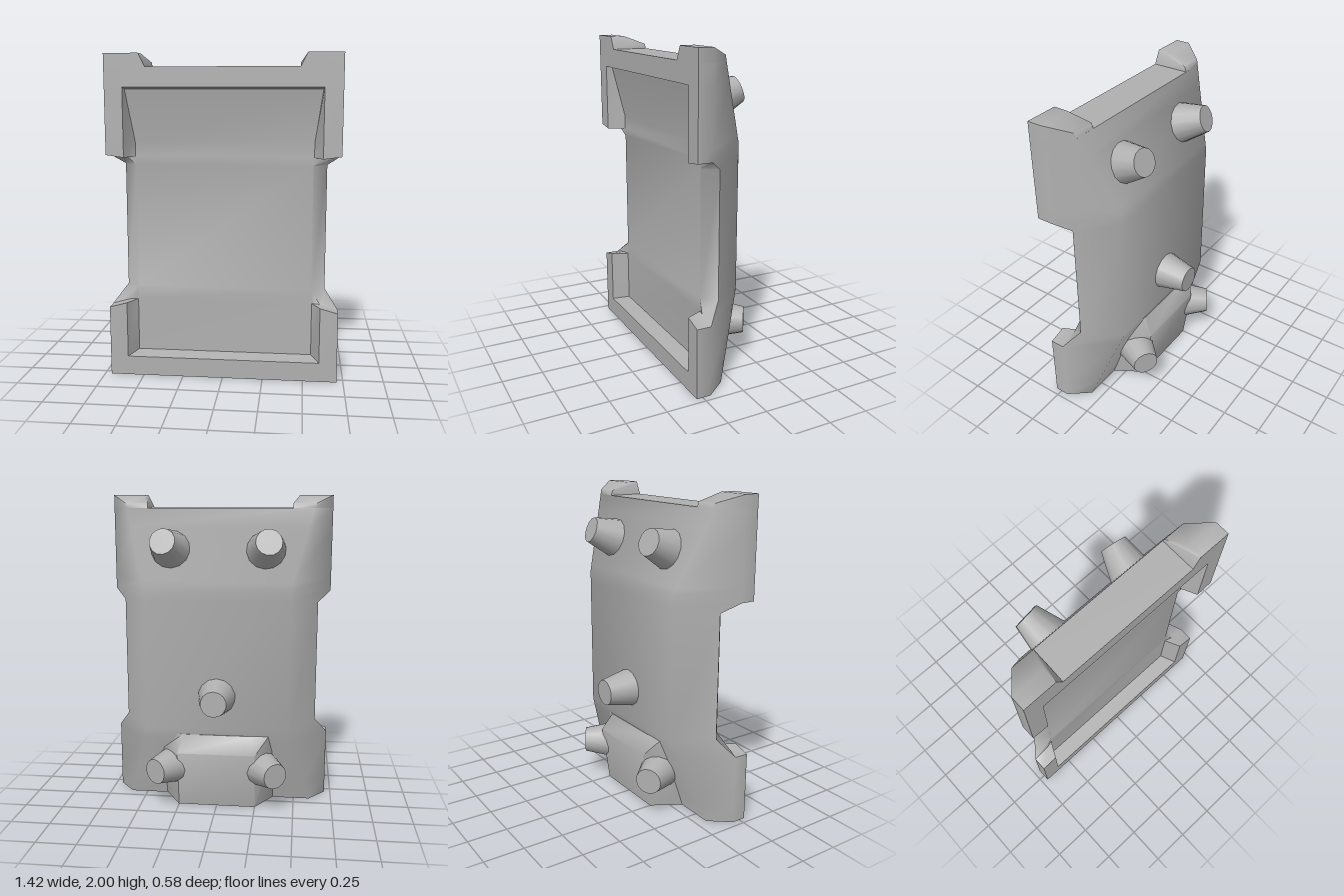
import * as THREE from 'three';
import { toCreasedNormals } from 'three/addons/utils/BufferGeometryUtils.js';
import { ConvexGeometry } from 'three/addons/geometries/ConvexGeometry.js';

const V = (x, y, z) => new THREE.Vector3(x, y, z);
const mirror = p => V(-p.x, p.y, p.z);

// Closed skin over rows of half cross-sections (front to back, +x side), mirrored to -x.
function loft(rows, crease) {
  const loops = rows.map(r => [...r, ...r.map(mirror).reverse()]);
  const pos = [];
  const tri = (a, b, c) => {
    const area = b.clone().sub(a).cross(c.clone().sub(a)).length();
    if (area > 1e-6) for (const p of [a, b, c]) pos.push(p.x, p.y, p.z);
  };
  for (let i = 0; i < loops.length - 1; i++) {
    const lo = loops[i], hi = loops[i + 1], n = lo.length;
    for (let j = 0; j < n; j++) {
      const k = (j + 1) % n;
      tri(lo[j], lo[k], hi[k]);
      tri(lo[j], hi[k], hi[j]);
    }
  }
  const bottom = loops[0], top = loops[loops.length - 1];
  for (let j = 1; j < bottom.length - 1; j++) {
    tri(bottom[0], bottom[j + 1], bottom[j]);
    tri(top[0], top[j], top[j + 1]);
  }
  const g = new THREE.BufferGeometry();
  g.setAttribute('position', new THREE.Float32BufferAttribute(pos, 3));
  return toCreasedNormals(g, crease);
}

// Back edge of the shell: sloped at the bottom and top, straight between.
function backEdge(y) {
  const t = Math.max(0, (0.52 - y) / 0.52, (y - 1.43) / 0.52);
  return V(0.46 + 0.145 * t, y, -0.11 + 0.18 * t);
}

export function createModel() {
  const group = new THREE.Group();
  const grey = new THREE.MeshStandardMaterial({ color: 0xb0b0b0 });
  grey.name = 'grey';
  const add = (name, geometry) => {
    const mesh = new THREE.Mesh(geometry, grey);
    mesh.name = name;
    group.add(mesh);
    return mesh;
  };

  // Shell rows: floor corner, inner rim, outer rim, side, back edge
  const row = (f, r, o, s, backY) => [V(...f), V(...r), V(...o), V(...s), backEdge(backY)];
  const solid = y => row([0.6, y, 0.29], [0.6, y, 0.29], [0.71, y, 0.29], [0.71, y, 0.2], y);
  const notch = (y, backY) => row([0.545, y, 0.185], [0.545, y, 0.185], [0.63, y, 0.11], [0.63, y, 0.11], backY);
  add('shell', loft([
    solid(0),
    solid(0.12),
    row([0.55, 0.135, 0.185], [0.6, 0.121, 0.29], [0.71, 0.121, 0.29], [0.71, 0.121, 0.2], 0.121),
    row([0.55, 0.47, 0.185], [0.6, 0.47, 0.29], [0.71, 0.44, 0.29], [0.71, 0.44, 0.2], 0.44),
    row([0.55, 0.47, 0.185], [0.6, 0.47, 0.2], [0.71, 0.44, 0.2], [0.71, 0.44, 0.2], 0.44),
    notch(0.55, 0.52),
    notch(1.33, 1.36),
    row([0.55, 1.38, 0.185], [0.6, 1.38, 0.2], [0.71, 1.395, 0.2], [0.71, 1.395, 0.2], 1.43),
    row([0.55, 1.38, 0.185], [0.6, 1.38, 0.29], [0.71, 1.395, 0.29], [0.71, 1.395, 0.2], 1.43),
    row([0.55, 1.47, 0.185], [0.6, 1.47, 0.29], [0.71, 1.47, 0.29], [0.71, 1.47, 0.2], 1.47),
    row([0.595, 1.79, 0.25], [0.6, 1.799, 0.29], [0.71, 1.799, 0.29], [0.71, 1.799, 0.2], 1.799),
    solid(1.8),
    solid(1.92),
  ], 1.08));

  // Raised corners on the top edge
  for (const side of [1, -1]) {
    const points = [
      [0.46, 1.92, 0.29], [0.46, 1.92, 0.06], [0.71, 1.92, 0.29], [0.71, 1.92, 0.2], [0.597, 1.92, 0.06],
      [0.5, 2, 0.29], [0.5, 2, 0.2], [0.71, 2, 0.29], [0.71, 2, 0.2],
      [0.46, 1.95, 0.07], [0.605, 1.95, 0.07],
    ].map(([x, y, z]) => V(side * x, y, z));
    add(side > 0 ? 'leftTopCorner' : 'rightTopCorner', toCreasedNormals(new ConvexGeometry(points), 0.95));
  }

  // Thickened pad low on the back
  add('lowerBackPad', loft([
    [V(0.36, 0, 0.1), V(0.36, 0, 0.07), V(0.25, 0, -0.11)],
    [V(0.36, 0.37, 0), V(0.36, 0.37, -0.055), V(0.25, 0.37, -0.165)],
    [V(0.34, 0.47, 0), V(0.34, 0.49, -0.09), V(0.22, 0.48, -0.1)],
  ], 0.95));

  // Tapered pegs on the back, sunk a little into the shell
  function peg(name, base, tip) {
    const dir = tip.clone().sub(base), length = dir.length(), sink = 0.06;
    dir.normalize();
    const g = new THREE.CylinderGeometry(0.082, 0.12 + 0.038 * sink / length, length + sink, 14);
    g.translate(0, (length - sink) / 2, 0);
    const mesh = add(name, g);
    mesh.position.copy(base);
    mesh.quaternion.setFromUnitVectors(V(0, 1, 0), dir);
  }
  peg('middlePeg', V(0, 0.74, -0.11), V(0, 0.74, -0.29));
  for (const side of [1, -1]) {
    const label = side > 0 ? 'left' : 'right';
    peg(label + 'UpperPeg', V(side * 0.305, 1.672, -0.035), V(side * 0.325, 1.725, -0.177));
    peg(label + 'LowerPeg', V(side * 0.285, 0.26, -0.065), V(side * 0.385, 0.26, -0.217));
  }
  return group;
}
